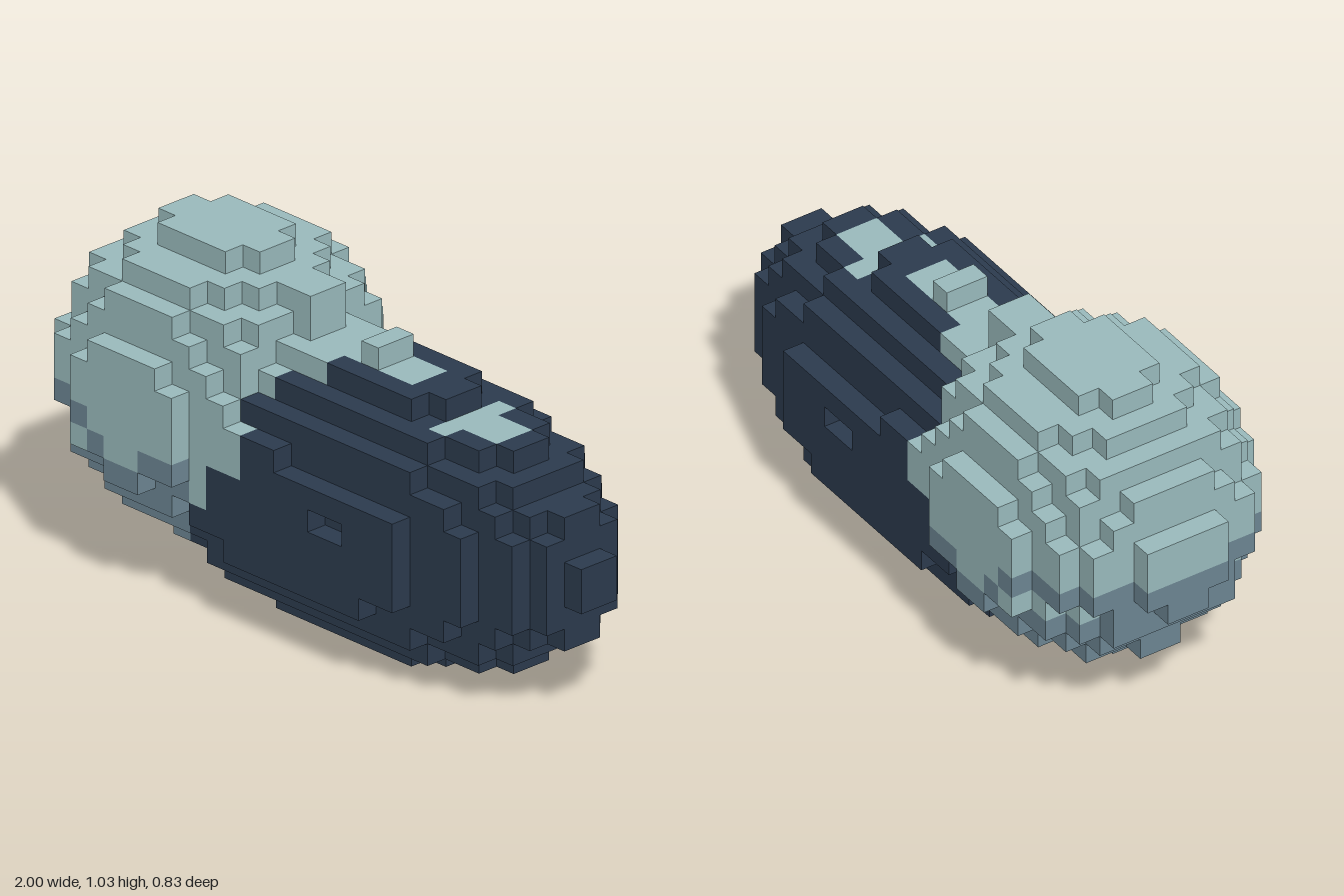
import * as THREE from 'three';

const S = 2 / 29; // voxel edge: the model is 29 voxels long, 15 high, 12 deep

// Column where the dark body coat starts, for each layer from the ground up
const COAT_START = [0, 0, 8, 9, 10, 11, 11, 13, 13, 12, 13, 15, 99, 99, 99];

// Half-depth test: x, y are voxel centres, z the distance from the mid plane
function inBody(i, j, z) {
  const dx = i + 0.5 - 16, dy = j + 0.5 - 6;
  if (z > 4) { // folded wing lines carved in the outermost layer
    if (j === 8 && i >= 15 && i < 20) return false;
    if (j === 6 && i >= 17 && i < 19) return false;
  }
  return 0.006 * dx * dx + 0.0272 * dy * dy + 0.037 * z * z <= 1;
}

function inHead(i, j, z) {
  const dx = i + 0.5 - 7, dy = j + 0.5 - 8;
  if (i === 1 && j === 4) return false;
  // The underside is a little flatter than the crown
  const b = dy > 0 ? 0.0203 : 0.028;
  return 0.021 * dx * dx + b * dy * dy + 0.026 * z * z <= 1;
}

function inNeck(i, j, z) {
  const ridge = (j === 12 || j === 13) && i >= 10 && i < 13 && z < 1;
  const nape = j === 11 && i >= 11 && i < 15 && z < 2;
  const knob = j === 12 && i === 16 && z < 1;
  return ridge || nape || knob;
}

function filled(i, j, k) {
  const z = Math.abs(k + 0.5);
  return inBody(i, j, z) || inHead(i, j, z) || inNeck(i, j, z);
}

function partOf(i, j, k) {
  const z = Math.abs(k + 0.5);
  // Pale marks along the back
  if (j >= 10 && i >= 15 && i < 19 && z < 1) return 'paleHeadAndMarks';
  if (j >= 10 && ((i === 21 && z < 2) || (i > 21 && i < 24 && z < 1))) return 'paleHeadAndMarks';
  if (i >= COAT_START[j]) return 'darkBody';
  // Slate chin with a wavy upper edge
  const chin =
    (j <= 3) ||
    (j === 4 && i < 9) ||
    (j === 5 && i < 10) ||
    (j === 6 && (i < 2 || i === 5 || i === 8 || i === 9)) ||
    (j === 7 && i < 5);
  return chin ? 'slateChin' : 'paleHeadAndMarks';
}

// Adds one square face of a voxel, wound outward
function addFace(out, cell, axis, sign) {
  const u = (axis + 1) % 3, v = (axis + 2) % 3;
  const ring = [[0, 0], [1, 0], [1, 1], [0, 1]];
  if (sign < 0) ring.reverse();
  const corners = ring.map(([a, b]) => {
    const p = [...cell];
    p[axis] += sign > 0 ? 1 : 0;
    p[u] += a;
    p[v] += b;
    return [p[0] * S - 1, p[1] * S, p[2] * S];
  });
  for (const n of [0, 1, 2, 0, 2, 3]) out.push(...corners[n]);
}

export function createModel() {
  const group = new THREE.Group();
  group.name = 'voxelCreature';
  const colours = {
    paleHeadAndMarks: ['paleTeal', 0x9abbbd],
    slateChin: ['slate', 0x6d8693],
    darkBody: ['navy', 0x2c3b4e],
  };
  const faces = { paleHeadAndMarks: [], slateChin: [], darkBody: [] };

  // Keep only the faces between a filled voxel and an empty one
  for (let i = 0; i < 29; i++)
    for (let j = 0; j < 15; j++)
      for (let k = -6; k < 6; k++) {
        if (!filled(i, j, k)) continue;
        const out = faces[partOf(i, j, k)];
        for (let axis = 0; axis < 3; axis++)
          for (const sign of [-1, 1]) {
            const next = [i, j, k];
            next[axis] += sign;
            if (!filled(...next)) addFace(out, [i, j, k], axis, sign);
          }
      }

  for (const part in faces) {
    const geometry = new THREE.BufferGeometry();
    geometry.setAttribute('position', new THREE.Float32BufferAttribute(faces[part], 3));
    geometry.computeVertexNormals();
    const [name, color] = colours[part];
    const material = new THREE.MeshStandardMaterial({ color });
    material.name = name;
    const mesh = new THREE.Mesh(geometry, material);
    mesh.name = part;
    group.add(mesh);
  }
  return group;
}
